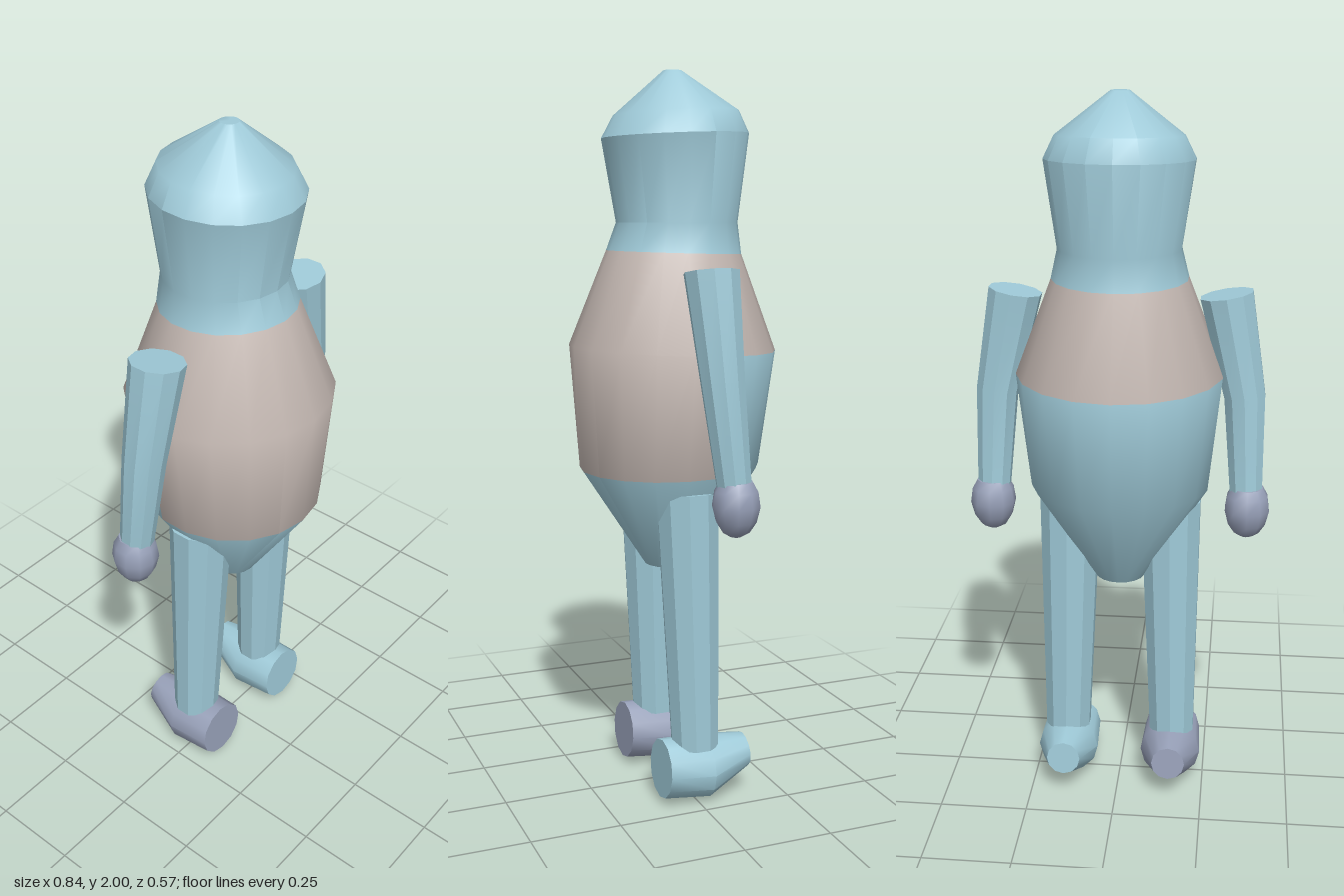
import * as THREE from 'three';
import { mergeVertices, toCreasedNormals } from 'three/addons/utils/BufferGeometryUtils.js';

const paint = (name, color) => {
  const m = new THREE.MeshStandardMaterial({ color });
  m.name = name;
  return m;
};

// Capped tube through rings listed from top to bottom.
// Ring: { c: centre, r: radius, sx / sz: rise of the ring per unit of x / z }
function loft(rings, sides, crease = 0.6) {
  const rows = rings.length - 1;
  const geo = new THREE.CylinderGeometry(1, 1, 1, sides, rows);
  const p = geo.attributes.position;
  for (let i = 0; i < p.count; i++) {
    const { c, r, sx = 0, sz = 0 } = rings[Math.round((0.5 - p.getY(i)) * rows)];
    const x = p.getX(i) * r, z = p.getZ(i) * r;
    p.setXYZ(i, c[0] + x, c[1] + sx * x + sz * z, c[2] + z);
  }
  geo.deleteAttribute('uv');
  geo.deleteAttribute('normal');
  geo.clearGroups();
  return toCreasedNormals(mergeVertices(geo), crease);
}

export function createModel() {
  const model = new THREE.Group();
  const blue = paint('paleBlue', 0x9fcad8);
  const beige = paint('warmBeige', 0xc8bcb6);
  const violet = paint('greyViolet', 0x98a1b9);

  const add = (name, geo, material) => {
    const mesh = new THREE.Mesh(geo, material);
    mesh.name = name;
    model.add(mesh);
  };

  // Head, neck and torso in one smooth shell: [y, radius, z, slope in z]
  const sides = 18;
  const profile = [
    [2.0, 0.025, 0, 0], [1.89, 0.17, -0.01, -0.05], [1.83, 0.2, -0.008, -0.04],
    [1.6, 0.166, -0.013, 0], [1.52, 0.185, -0.004, 0.03], [1.26, 0.285, 0, 0.035],
    [0.93, 0.25, 0.01, -0.02], [0.65, 0.07, 0.01, 0],
  ];
  const body = loft(profile.map(([y, r, z, sz]) => ({ c: [0, y, z], r, sz })), sides);

  // Beige chest band all around, beige belly on the front only
  const rows = profile.length - 1;
  for (let col = 0; col < sides; col++) {
    const front = Math.cos((col + 0.5) * 2 * Math.PI / sides) > -0.01;
    for (let row = 0; row < rows; row++) {
      const isBeige = row === 4 || (row === 5 && front);
      body.addGroup((col * rows + row) * 6, 6, isBeige ? 1 : 0);
    }
  }
  const capStart = sides * rows * 6;
  body.addGroup(capStart, body.attributes.position.count - capStart, 0);
  add('body', body, [blue, beige]);

  for (const [side, s] of [['left', 1], ['right', -1]]) {
    // Faceted arm, bent at the elbow
    add(side + 'Arm', loft([
      { c: [s * 0.285, 1.477, 0.008], r: 0.073, sx: s * 0.17 },
      { c: [s * 0.341, 1.2, 0], r: 0.058, sx: s * 0.1 },
      { c: [s * 0.353, 0.92, -0.03], r: 0.046 },
    ], 10, 0.3), blue);

    // Rounded hand
    const hand = [[0.945, 0.044], [0.92, 0.058], [0.88, 0.064], [0.84, 0.054], [0.812, 0.036], [0.8, 0.015]];
    add(side + 'Hand', loft(hand.map(([y, r]) => ({ c: [s * 0.357, y, -0.033], r })), 10, 0.9), violet);

    // Faceted leg
    add(side + 'Leg', loft([
      { c: [s * 0.143, 0.885, 0.015], r: 0.088 },
      { c: [s * 0.155, 0.16, -0.005], r: 0.067 },
    ], 10, 0.3), blue);

    // Foot: lofted upright from toe to heel, then laid along z
    const foot = loft([
      { c: [s * 0.153, 0.095, -0.102], r: 0.082, sz: 0.05 },
      { c: [s * 0.153, -0.035, -0.093], r: 0.088 },
      { c: [s * 0.153, -0.157, -0.122], r: 0.048, sz: -0.1 },
    ], 12);
    foot.rotateX(Math.PI / 2);
    add(side + 'Foot', foot, s > 0 ? blue : violet);
  }
  return model;
}
